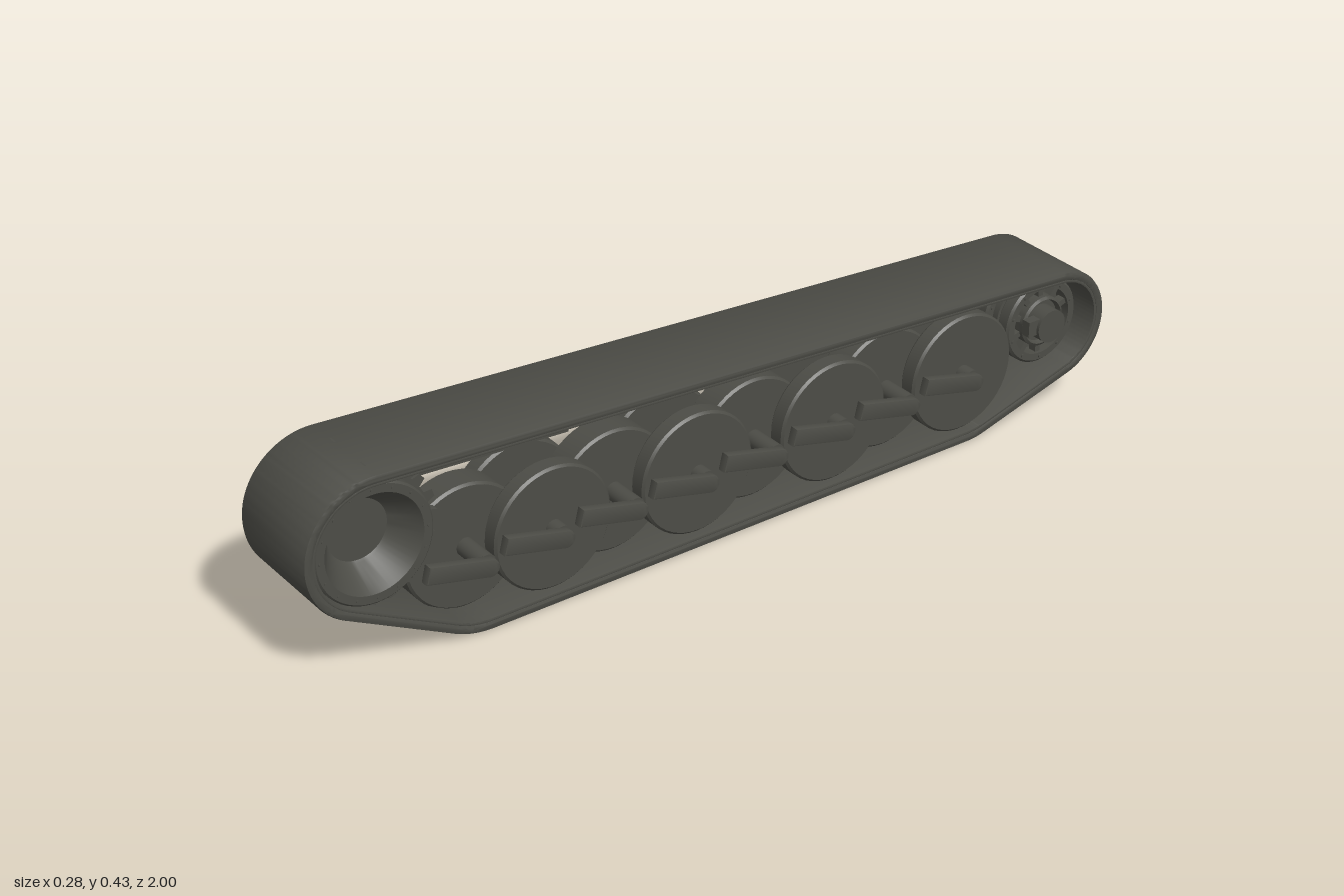
import * as THREE from 'three';
import { toCreasedNormals } from 'three/addons/utils/BufferGeometryUtils.js';

const steel = new THREE.MeshStandardMaterial({ color: 0x4c4c46 });
steel.name = 'darkOliveSteel';

const WHEEL_Y = 0.165;
const SPROCKET = { y: 0.28, z: 0.842 };
const IDLER = { y: 0.203, z: -0.857 };

function add(parent, name, geometry, x = 0, y = 0, z = 0) {
  const mesh = new THREE.Mesh(geometry, steel);
  mesh.name = name;
  mesh.position.set(x, y, z);
  parent.add(mesh);
  return mesh;
}

function group(parent, name, y, z) {
  const g = new THREE.Group();
  g.name = name;
  g.position.set(0, y, z);
  parent.add(g);
  return g;
}

// Extrude a side profile (u = -z, v = y) from x0 to x1
function extrudeX(shape, x0, x1, bevel = 0) {
  const geo = new THREE.ExtrudeGeometry(shape, {
    depth: x1 - x0 - 2 * bevel, curveSegments: 28,
    bevelEnabled: bevel > 0, bevelThickness: bevel, bevelSize: bevel,
    bevelOffset: -bevel, bevelSegments: 2,
  });
  geo.translate(0, 0, x0 + bevel).rotateY(Math.PI / 2);
  return toCreasedNormals(geo, 0.5);
}

// Turn a closed profile of [radius, x] points around the x axis
function turnX(profile, segments = 48) {
  const geo = new THREE.LatheGeometry(profile.map(([r, x]) => new THREE.Vector2(r, x)), segments);
  geo.rotateZ(-Math.PI / 2);
  return toCreasedNormals(geo, 0.5);
}

function rod(r, x0, x1, segments = 24) {
  return new THREE.CylinderGeometry(r, r, x1 - x0, segments)
    .rotateZ(-Math.PI / 2).translate((x0 + x1) / 2, 0, 0);
}

// Belt outline wrapped around four circles [u, v, radius], moved inward
function beltOutline(inset, Type) {
  const circles = [[-0.595, 0.2, 0.2], [0.62, 0.16, 0.16], [0.87, 0.2, 0.13], [-0.845, 0.28, 0.155]];
  const normals = circles.map(([u, v, r], i) => {
    const [u2, v2, r2] = circles[(i + 1) % 4];
    return Math.atan2(v2 - v, u2 - u) - Math.acos((r - r2) / Math.hypot(u2 - u, v2 - v));
  });
  const path = new Type();
  circles.forEach(([u, v, r], i) => path.absarc(u, v, r - inset, normals[(i + 3) % 4], normals[i], false));
  path.closePath();
  return path;
}

function belt(outer, inner, x0, x1, bevel) {
  const shape = beltOutline(outer, THREE.Shape);
  shape.holes.push(beltOutline(inner, THREE.Path));
  return extrudeX(shape, x0, x1, bevel);
}

// Toothed ring with a round hole
function gear(teeth, root, tip, hole) {
  const pts = [];
  for (let i = 0; i < teeth; i++) {
    for (const [f, r] of [[-0.3, root], [-0.17, tip], [0.17, tip], [0.3, root]]) {
      const a = ((i + f) / teeth) * Math.PI * 2;
      pts.push(new THREE.Vector2(Math.cos(a) * r, Math.sin(a) * r));
    }
  }
  const shape = new THREE.Shape(pts);
  shape.holes.push(new THREE.Path().absarc(0, 0, hole, 0, Math.PI * 2, true));
  return shape;
}

// Repeat a part around the x axis
function radial(parent, name, count, radius, makeGeometry) {
  for (let i = 0; i < count; i++) {
    const geo = makeGeometry().translate(0, radius, 0).rotateX((i / count) * Math.PI * 2);
    add(parent, name, geo);
  }
}

export function createModel() {
  const model = new THREE.Group();
  model.name = 'trackAssembly';

  // Track band and its inner lining
  add(model, 'trackBand', belt(0, 0.021, -0.13, 0.108, 0.007));
  add(model, 'trackLining', belt(0.018, 0.026, -0.14, 0.106, 0.003));

  // Interleaved road wheels: outer pairs alternate with centre wheels
  const dished = turnX([[0, -0.054], [0.012, -0.054], [0.014, -0.066], [0.025, -0.066], [0.03, -0.052],
    [0.108, -0.062], [0.116, -0.076], [0.131, -0.076], [0.137, -0.07], [0.137, -0.038], [0.132, -0.032], [0, -0.032]]);
  const flat = turnX([[0, 0.048], [0.132, 0.048], [0.137, 0.054], [0.137, 0.086], [0.132, 0.091], [0, 0.091]]);
  const centre = turnX([[0, -0.062], [0.024, -0.062], [0.029, -0.057], [0.032, -0.02], [0.11, -0.012], [0.118, -0.023],
    [0.132, -0.023], [0.137, -0.018], [0.137, 0.039], [0.132, 0.044], [0, 0.044]]);
  const axle = rod(0.02, -0.045, 0.122);

  // Swing arm with a round end on the axle
  const armShape = new THREE.Shape();
  armShape.absarc(0, 0, 0.019, -Math.PI / 2, Math.PI / 2, false);
  armShape.lineTo(-0.145, 0.019);
  armShape.lineTo(-0.145, -0.019);
  armShape.closePath();
  const arm = extrudeX(armShape, 0.118, 0.139, 0.003);

  for (let i = 0; i < 8; i++) {
    const station = group(model, 'roadWheelStation', WHEEL_Y, 0.615 - i * 0.175);
    if (i % 2) {
      add(station, 'outerRoadWheel', dished);
      add(station, 'innerRoadWheel', flat);
    } else {
      add(station, 'centreRoadWheel', centre);
    }
    add(station, 'axle', axle);
    add(station, 'swingArm', arm, 0, -0.003, 0).rotation.x = -0.24;
  }

  // Drive sprocket: two toothed rings, spoked face, hollow final drive
  const sprocket = group(model, 'driveSprocket', SPROCKET.y, SPROCKET.z);
  const toothed = gear(20, 0.138, 0.155, 0.1);
  add(sprocket, 'outerToothedRing', extrudeX(toothed, -0.06, -0.042));
  add(sprocket, 'innerToothedRing', extrudeX(toothed, 0.05, 0.068));
  add(sprocket, 'finalDrive', turnX([[0, -0.01], [0.085, -0.01], [0.1, 0.035], [0.13, 0.05], [0.13, 0.092],
    [0.126, 0.096], [0.108, 0.096], [0.07, 0.035], [0.066, 0.03], [0, 0.03]]));
  add(sprocket, 'sprocketDrum', rod(0.085, -0.03, 0, 40));
  add(sprocket, 'sprocketHub', turnX([[0, -0.062], [0.03, -0.062], [0.042, -0.055], [0.046, -0.02], [0, -0.02]]));
  radial(sprocket, 'sprocketSpoke', 10, 0.07, () => new THREE.BoxGeometry(0.024, 0.068, 0.016).translate(-0.044, 0, 0));
  radial(sprocket, 'hubBolt', 8, 0.022, () => rod(0.005, -0.068, -0.06, 8));
  radial(sprocket, 'driveBolt', 16, 0.118, () => rod(0.003, 0.094, 0.098, 8));

  // Idler: two rims on a spoked hub with a cranked axle
  const idler = group(model, 'idlerWheel', IDLER.y, IDLER.z);
  for (const [x0, x1] of [[-0.04, -0.005], [0.03, 0.065]]) {
    add(idler, 'idlerRim', turnX([[0.078, x0], [0.094, x0], [0.099, x0 + 0.005], [0.099, x1 - 0.005],
      [0.094, x1], [0.078, x1], [0.078, x0]]));
    const mid = (x0 + x1) / 2;
    radial(idler, 'idlerSpoke', 10, 0.062, () => new THREE.BoxGeometry(0.02, 0.045, 0.013).translate(mid, 0, 0));
    radial(idler, 'idlerBolt', 10, 0.086, () => rod(0.004, x0 - 0.003, x1 + 0.003, 8));
  }
  add(idler, 'idlerWeb', rod(0.09, 0.005, 0.02, 40));
  add(idler, 'idlerHub', turnX([[0, -0.045], [0.025, -0.045], [0.034, -0.04], [0.045, -0.02], [0.045, 0.03],
    [0.058, 0.04], [0.058, 0.066], [0.052, 0.07], [0.048, 0.058], [0, 0.058]]));
  add(idler, 'idlerAxle', rod(0.038, 0.05, 0.098));
  add(idler, 'crankArm', new THREE.BoxGeometry(0.022, 0.036, 0.06), 0.08, 0.006, 0.03);

  // Skid rails beneath the upper run, behind the sprocket
  for (const x of [-0.035, 0.05]) {
    const rail = add(model, 'skidRail', new THREE.BoxGeometry(0.025, 0.034, 0.42), x, 0.379, 0.59);
    rail.rotation.x = -0.06;
  }
  return model;
}
